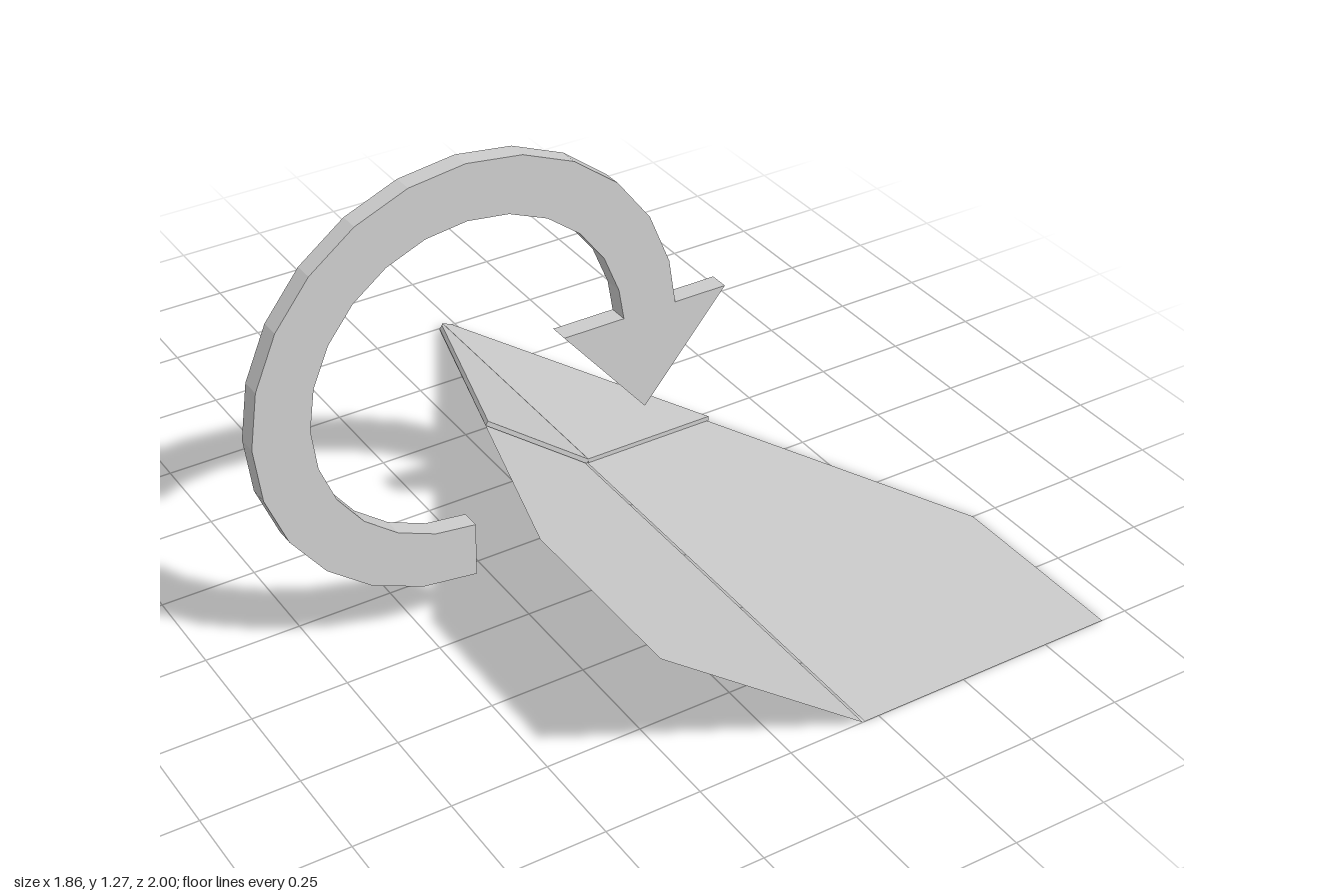
import * as THREE from 'three';

const material = new THREE.MeshStandardMaterial({
  color: 0xcccccc, flatShading: true, side: THREE.DoubleSide,
});

function outline(points) {
  return new THREE.Shape(points.map(([x, y]) => new THREE.Vector2(x, y)));
}

function addMesh(parent, name, geometry) {
  const mesh = new THREE.Mesh(geometry, material);
  mesh.name = name;
  parent.add(mesh);
  return mesh;
}

// One half of the paper plane, hinged on the centre fold (local x = 0).
// side is 1 or -1; shape y becomes -z when laid flat.
function createWing(name, side, width) {
  const wing = new THREE.Group();
  wing.name = name;
  const place = (pts) => outline(pts.map(([x, z]) => [side * x, -z]));

  const sheet = new THREE.ShapeGeometry(place([
    [0, -1], [0.02, -0.98], [width, 0.5], [width, 1], [0, 1],
  ]));
  addMesh(wing, name + 'Sheet', sheet.rotateX(-Math.PI / 2));

  // Folded-over nose layer
  const flap = new THREE.ExtrudeGeometry(place([
    [0, -1], [0.02, -0.98], [0.382, -0.215], [0, -0.215],
  ]), { depth: 0.013, bevelEnabled: false });
  addMesh(wing, name + 'NoseFlap', flap.rotateX(-Math.PI / 2).translate(0, 0.002, 0));
  return wing;
}

// Curved arrow: 24-sided ring arc running clockwise from the bottom
function createArrow() {
  const arrow = new THREE.Group();
  arrow.name = 'foldArrow';
  const depth = 0.05, inner = 0.415, outer = 0.56, steps = 18;
  const outside = [], inside = [];
  for (let i = 0; i <= steps; i++) {
    const a = -Math.PI / 2 - (i / steps) * Math.PI * 1.5;
    outside.push([outer * Math.cos(a), outer * Math.sin(a)]);
    inside.unshift([inner * Math.cos(a), inner * Math.sin(a)]);
  }
  // The last step stops at the base of the arrowhead
  outside[steps][1] = inside[0][1] = 0.025;
  const options = { depth, bevelEnabled: false };
  const band = new THREE.ExtrudeGeometry(outline([...outside, ...inside]), options);
  const head = new THREE.ExtrudeGeometry(
    outline([[0.25, 0.025], [0.477, -0.243], [0.703, 0.025]]), options);
  addMesh(arrow, 'arrowBand', band.translate(0, 0, -depth / 2));
  addMesh(arrow, 'arrowHead', head.translate(0, 0, -depth / 2));
  arrow.position.set(-0.37, 0.705, 0.178);
  arrow.rotation.x = -0.011;
  return arrow;
}

export function createModel() {
  const model = new THREE.Group();
  model.name = 'paperPlaneFoldStep';

  const flat = createWing('flatWing', 1, 0.718);
  flat.position.x = 0.21;

  const raised = createWing('raisedWing', -1, 0.715);
  raised.position.x = 0.204;
  raised.rotation.z = -0.648;

  model.add(flat, raised, createArrow());
  return model;
}
